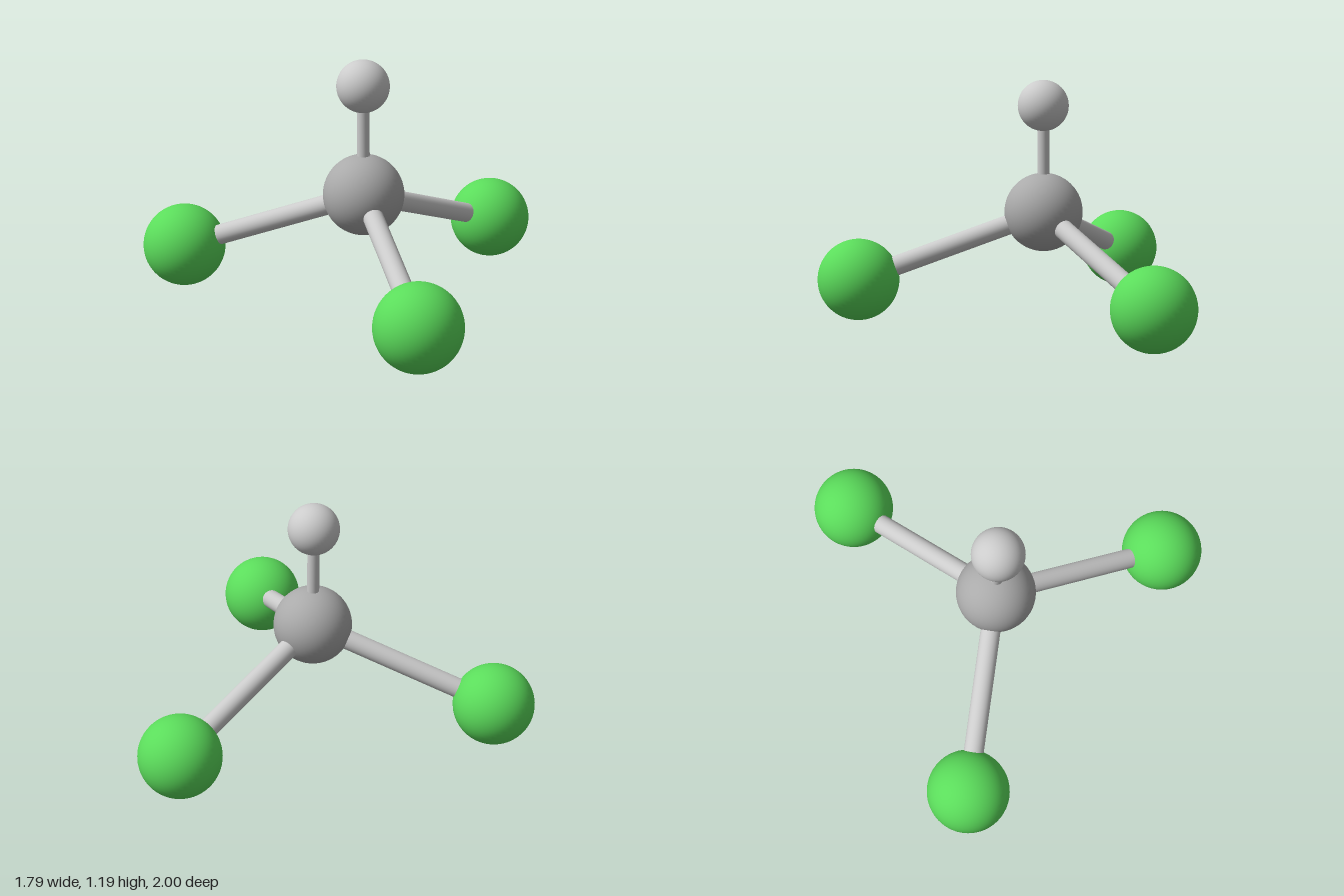
import * as THREE from 'three';

const UP = new THREE.Vector3(0, 1, 0);

function material(color) {
  return new THREE.MeshStandardMaterial({ color });
}

function ball(name, center, radius, mat) {
  const mesh = new THREE.Mesh(new THREE.SphereGeometry(radius, 48, 32), mat);
  mesh.name = name;
  mesh.position.copy(center);
  return mesh;
}

// Cylinder running from the centre of one ball to the centre of another
function rod(name, from, to, radius, mat) {
  const axis = to.clone().sub(from);
  const mesh = new THREE.Mesh(new THREE.CylinderGeometry(radius, radius, axis.length(), 32), mat);
  mesh.name = name;
  mesh.position.copy(from).addScaledVector(axis, 0.5);
  mesh.quaternion.setFromUnitVectors(UP, axis.normalize());
  return mesh;
}

export function createModel() {
  const model = new THREE.Group();
  model.name = 'ballAndStickModel';
  const grey = material(0xcccccc);
  const darkGrey = material(0xaaaaaa);
  const green = material(0x5bdc5b);

  // Central ball with the small ball straight above it
  const hub = new THREE.Vector3(-0.23, 0.532, 0);
  const top = new THREE.Vector3(-0.23, 1.063, 0);
  model.add(
    ball('centralBall', hub, 0.195, darkGrey),
    ball('topBall', top, 0.126, grey),
    rod('topRod', hub, top, 0.03, grey)
  );

  // Three green balls spread evenly around the vertical axis
  const spread = 0.921;
  for (let i = 0; i < 3; i++) {
    const a = (i * Math.PI * 2) / 3;
    const foot = new THREE.Vector3(hub.x + spread * Math.cos(a), 0.203, spread * Math.sin(a));
    model.add(
      ball('greenBall' + (i + 1), foot, 0.202, green),
      rod('lowerRod' + (i + 1), hub, foot, 0.049, grey)
    );
  }
  return model;
}
